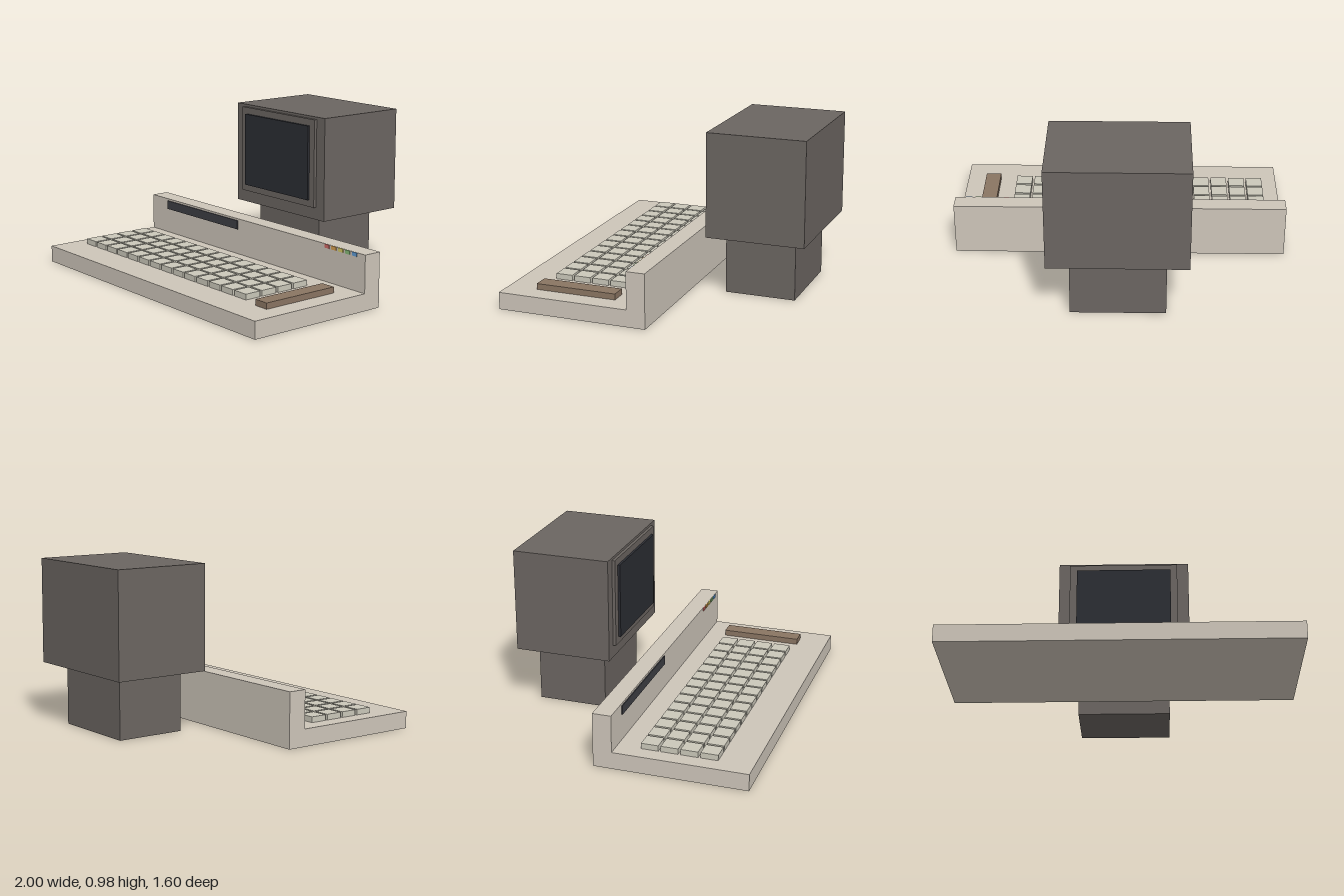
import * as THREE from 'three';

const mat = (color) => new THREE.MeshStandardMaterial({ color });

// Box given by its minimum and maximum on each axis
function block(name, [x0, x1], [y0, y1], [z0, z1], material) {
  const mesh = new THREE.Mesh(new THREE.BoxGeometry(x1 - x0, y1 - y0, z1 - z0), material);
  mesh.position.set((x0 + x1) / 2, (y0 + y1) / 2, (z0 + z1) / 2);
  mesh.name = name;
  return mesh;
}

export function createModel() {
  const model = new THREE.Group();
  model.name = 'homeComputer';
  const beige = mat(0xcdc5b9), keyGrey = mat(0xcbc8ba), grey = mat(0x6b6561);
  const slotGrey = mat(0x3d3e44), glass = mat(0x2b2d33), brown = mat(0x8a7562);

  // Keyboard case: L-shaped side profile (z, y) extruded across the width
  const profile = new THREE.Shape([
    [-0.09, 0], [0.8, 0], [0.8, 0.1], [0.02, 0.1], [0.02, 0.32], [-0.09, 0.32],
  ].map(([z, y]) => new THREE.Vector2(-z, y)));
  const caseGeometry = new THREE.ExtrudeGeometry(profile, { depth: 2, bevelEnabled: false });
  caseGeometry.translate(0, 0, -1).rotateY(Math.PI / 2);
  const body = new THREE.Mesh(caseGeometry, beige);
  body.name = 'keyboardCase';
  model.add(body);

  // Key grid
  const keys = new THREE.Group();
  keys.name = 'keys';
  const pitch = 0.114, size = 0.1;
  for (let row = 0; row < 4; row++) {
    for (let col = 0; col < 14; col++) {
      const x = -0.904 + col * pitch, z = 0.157 + row * pitch;
      keys.add(block('key', [x, x + size], [0.095, 0.133], [z, z + size], keyGrey));
    }
  }
  model.add(keys);

  // Long bar beside the keys
  model.add(block('sideBar', [0.786, 0.88], [0.095, 0.135], [0.14, 0.622], brown));

  // Dark slot and coloured stripes on the raised rear ridge
  model.add(block('ridgeSlot', [-0.834, -0.112], [0.254, 0.308], [0.01, 0.026], slotGrey));
  const stripes = new THREE.Group();
  stripes.name = 'colourStripes';
  [0xd06a66, 0xd9a050, 0xd8cc66, 0x86ba78, 0x5e9bd6].forEach((color, i) => {
    const x = 0.674 + i * 0.056;
    stripes.add(block('stripe', [x, x + 0.038], [0.298, 0.319], [0.01, 0.025], mat(color)));
  });
  model.add(stripes);

  // Monitor on its pedestal
  const monitor = new THREE.Group();
  monitor.name = 'monitor';
  monitor.add(
    block('pedestal', [-0.278, 0.274], [0, 0.36], [-0.713, -0.295], grey),
    block('housing', [-0.405, 0.402], [0.36, 0.975], [-0.8, -0.216], grey),
    block('bezel', [-0.338, 0.332], [0.434, 0.96], [-0.23, -0.198], grey),
    block('screen', [-0.294, 0.29], [0.475, 0.92], [-0.21, -0.184], glass),
  );
  model.add(monitor);
  return model;
}
